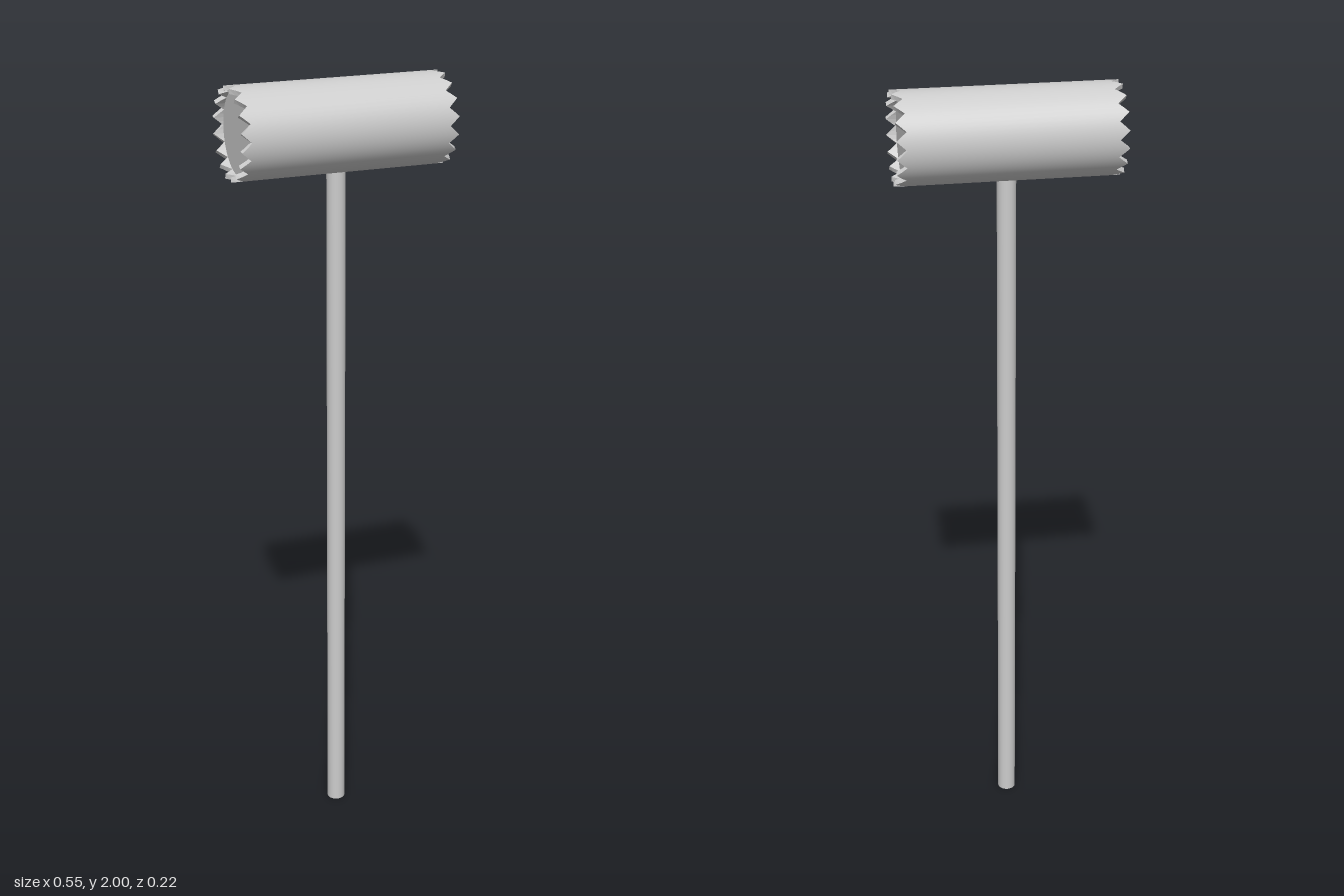
import * as THREE from 'three';

const TEETH = 16, SEG = 64;
const RADIUS = 0.112, INNER = 0.1, CENTRE_Y = 1.888;
const ROOT_X = 0.25, TOOTH = 0.024;

// Ring of points around the x axis; 'sign' picks the end, 'tooth' the zigzag height
function ring(radius, sign, tooth) {
  return Array.from({ length: SEG }, (_, i) => {
    const a = (i / SEG) * Math.PI * 2;
    const phase = (i * TEETH / SEG) % 1;
    const x = sign * (ROOT_X + tooth * (1 - Math.abs(2 * phase - 1)));
    return [x, radius * Math.cos(a), radius * Math.sin(a)];
  });
}

// Closed band of faces between two rings
function band(a, b, flat) {
  const index = [];
  for (let i = 0; i < SEG; i++) {
    const j = (i + 1) % SEG;
    index.push(i, j, SEG + i, j, SEG + j, SEG + i);
  }
  let geo = new THREE.BufferGeometry();
  geo.setAttribute('position', new THREE.Float32BufferAttribute([...a, ...b].flat(), 3));
  geo.setIndex(index);
  if (flat) geo = geo.toNonIndexed();
  geo.computeVertexNormals();
  return geo;
}

export function createModel() {
  const model = new THREE.Group();
  model.name = 'mallet';
  const steel = new THREE.MeshStandardMaterial({ color: 0xcccccc });
  steel.name = 'light grey';

  const add = (parent, name, geo) => {
    const mesh = new THREE.Mesh(geo, steel);
    mesh.name = name;
    parent.add(mesh);
    return mesh;
  };

  // Long round handle, reaching just inside the head
  const length = 1.8;
  add(model, 'handle', new THREE.CylinderGeometry(0.0235, 0.0235, length, 32))
    .position.y = length / 2;

  // Horizontal barrel head with a crown of teeth at each end
  const head = new THREE.Group();
  head.name = 'head';
  head.position.y = CENTRE_Y;
  model.add(head);

  add(head, 'barrel', band(ring(RADIUS, -1, TOOTH), ring(RADIUS, 1, TOOTH)));

  for (const sign of [1, -1]) {
    const side = sign > 0 ? 'left' : 'right';
    const loops = [ring(RADIUS, sign, TOOTH), ring(INNER, sign, TOOTH), ring(INNER, sign, 0)];
    if (sign < 0) loops.reverse();
    // Cut edges of the teeth and their inner faces
    for (let i = 0; i < 2; i++) {
      const isRim = (i === 0) === (sign > 0);
      add(head, side + (isRim ? 'ToothEdges' : 'ToothInside'), band(loops[i], loops[i + 1], true));
    }
    // Striking face closing the end
    const face = add(head, side + 'Face', new THREE.CircleGeometry(INNER, SEG));
    face.rotation.y = sign * Math.PI / 2;
    face.position.x = sign * ROOT_X;
  }
  return model;
}
